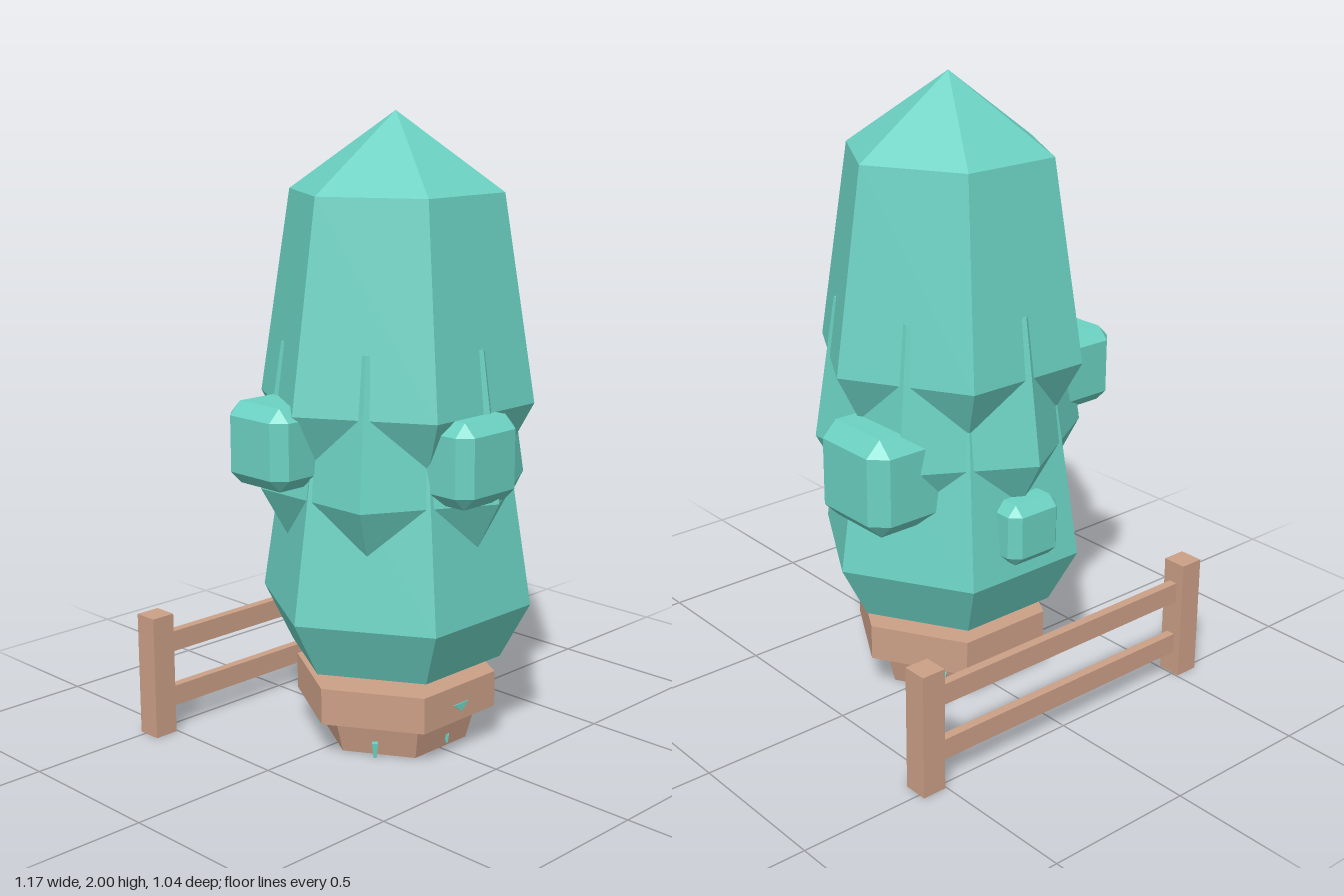
import * as THREE from 'three';
import { ConvexGeometry } from 'three/addons/geometries/ConvexGeometry.js';

export function createModel() {
  const model = new THREE.Group();
  model.name = 'pottedShrub';
  const leaf = new THREE.MeshStandardMaterial({ name: 'teal foliage', color: 0x6bd1c2, flatShading: true });
  const clay = new THREE.MeshStandardMaterial({ name: 'tan wood and clay', color: 0xcb9f86, flatShading: true });
  const CZ = 0.063; // the plant stands in front of the fence

  function add(name, geometry, material, x = 0, y = 0, z = 0) {
    const mesh = new THREE.Mesh(geometry, material);
    mesh.name = name;
    mesh.position.set(x, y, z);
    model.add(mesh);
    return mesh;
  }

  // Six-sided solid from [radius, height] pairs, bottom to top
  function hexSolid(name, profile, material, turn = 0) {
    const pts = profile.map(([r, y]) => new THREE.Vector2(r, y));
    return add(name, new THREE.LatheGeometry(pts, 6, turn), material, 0, 0, CZ);
  }

  // Box with every edge chamfered, given by its corners
  function chamferBox(name, min, max, c) {
    const size = max.map((v, i) => (v - min[i]) / 2);
    const pts = [];
    for (let full = 0; full < 3; full++) {
      for (const sx of [-1, 1]) for (const sy of [-1, 1]) for (const sz of [-1, 1]) {
        const p = [sx, sy, sz].map((s, i) => s * (size[i] - (i === full ? 0 : c)));
        pts.push(new THREE.Vector3(...p));
      }
    }
    const mid = max.map((v, i) => (v + min[i]) / 2);
    add(name, new ConvexGeometry(pts), leaf, ...mid);
  }

  // Three overlapping foliage tiers, the middle one turned by half a side
  const T = Math.PI / 6;
  hexSolid('lowerTier', [[0, 0.29], [0.345, 0.29], [0.44, 0.47], [0.345, 1.08], [0, 1.08]], leaf, T);
  hexSolid('middleTier', [[0, 0.67], [0.335, 0.67], [0.432, 0.85], [0.362, 1.31], [0, 1.31]], leaf);
  hexSolid('upperTier', [[0, 0.94], [0.345, 0.94], [0.44, 1.12], [0.339, 1.76], [0, 2]], leaf, T);

  // Leaf clumps on the sides
  chamferBox('frontClump', [-0.185, 0.857, 0.26], [0.077, 1.12, 0.522], 0.04);
  chamferBox('rightClump', [-0.505, 0.89, -0.18], [-0.25, 1.145, 0.075], 0.04);
  chamferBox('leftClump', [0.163, 0.66, -0.185], [0.483, 0.98, 0.135], 0.05);
  chamferBox('backClump', [-0.102, 0.527, -0.372], [0.102, 0.73, -0.168], 0.032);

  // Hexagonal pot with a heavy rim
  hexSolid('potBody', [[0, 0.003], [0.237, 0.003], [0.27, 0.125], [0, 0.125]], clay, T);
  hexSolid('potRim', [[0, 0.12], [0.33, 0.12], [0.33, 0.237], [0, 0.237]], clay, T);
  add('stem', new THREE.CylinderGeometry(0.05, 0.06, 0.12, 6), clay, -0.01, 0.26, CZ);

  // Small leaves fanned around the stem
  for (let i = 0; i < 6; i++) {
    const a = i * Math.PI / 3 + 0.5;
    const blade = add('stemLeaf', new THREE.ConeGeometry(0.03, 0.12, 4), leaf,
      0.03 + Math.sin(a) * 0.08, 0.258, CZ + Math.cos(a) * 0.12);
    blade.rotation.set(Math.PI / 2, a, 0, 'YXZ');
  }

  // Leaf tips hanging around the pot: x, y, z, width, height
  const tips = [
    [0.22, 0.06, -0.16, 0.022, 0.12], [-0.2, 0.025, 0.17, 0.014, 0.05],
    [0.16, 0.03, 0.22, 0.012, 0.06], [-0.14, 0.06, -0.14, 0.02, 0.1],
    [0.02, 0.03, 0.275, 0.01, 0.03], [0.03, 0.06, -0.155, 0.018, 0.1],
  ];
  for (const [x, y, z, w, h] of tips) {
    add('hangingLeaf', new THREE.CylinderGeometry(w, w * 0.5, h, 4), leaf, x, y, z);
  }
  const tri = new THREE.CylinderGeometry(0.04, 0.04, 0.008, 3);
  const frontTip = add('rimLeaf', tri, leaf, 0.003, 0.167, 0.348);
  frontTip.rotation.x = Math.PI / 2;
  frontTip.scale.z = 0.45;

  // Fence behind the pot
  for (const s of [-1, 1]) {
    add('fencePost', new THREE.BoxGeometry(0.081, 0.405, 0.081), clay, s * 0.546, 0.2025, -0.482);
  }
  for (const y of [0.112, 0.3]) {
    add('fenceRail', new THREE.BoxGeometry(1.03, 0.068, 0.03), clay, 0, y, -0.481);
  }
  return model;
}
